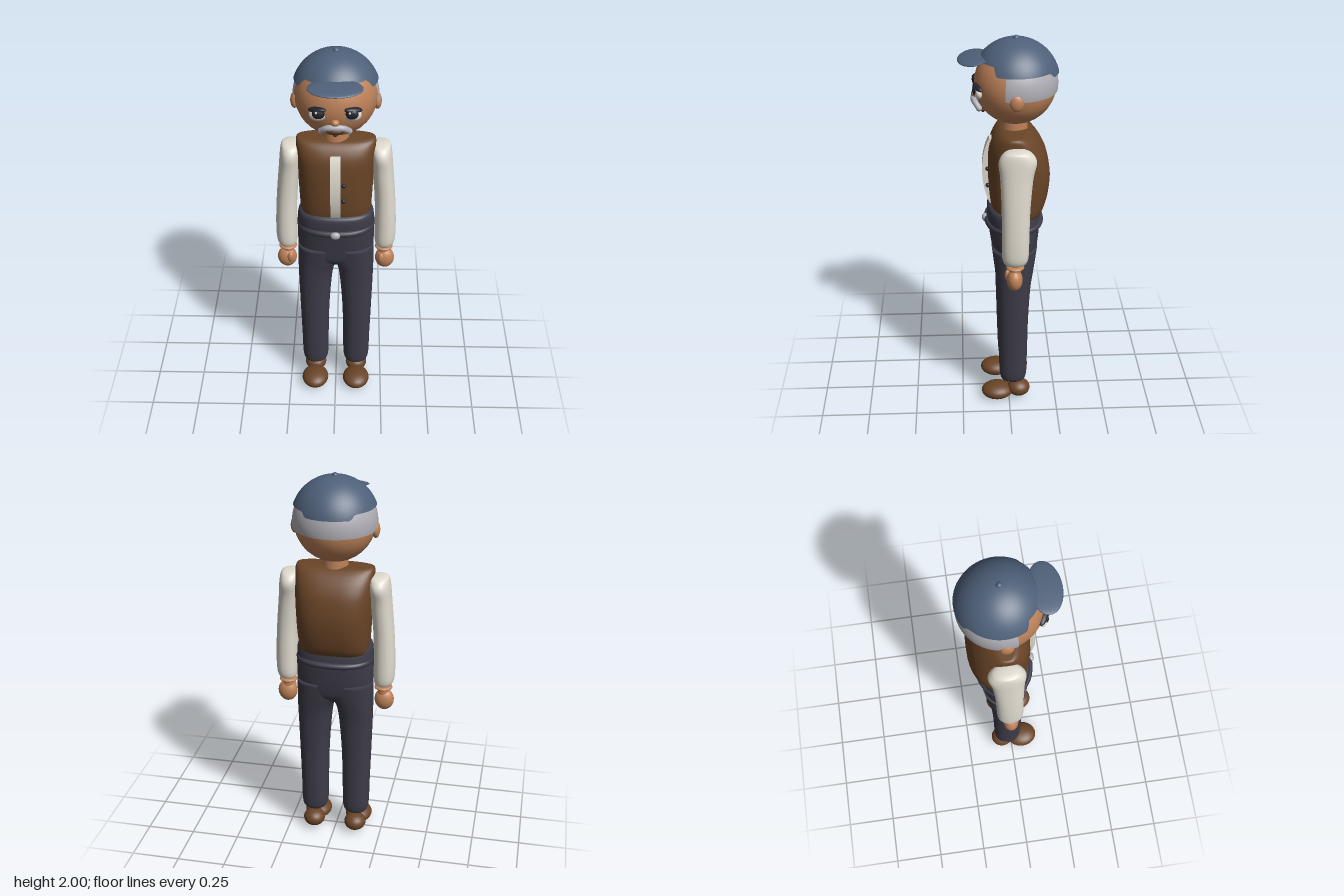
import * as THREE from 'three';

const mat = (name, color, side = THREE.FrontSide) => {
  const m = new THREE.MeshStandardMaterial({ color, side });
  m.name = name;
  return m;
};

// Stacked superellipse sections [y, xMin, xMax, zMin, zMax], smoothly joined and capped
function loft(sections, power = 2, steps = 40, sides = 40) {
  const a = new THREE.CatmullRomCurve3(sections.map(s => new THREE.Vector3(s[0], s[1], s[2])));
  const b = new THREE.CatmullRomCurve3(sections.map(s => new THREE.Vector3(s[3], s[4], 0)));
  a.curveType = b.curveType = 'catmullrom';
  const pos = [], idx = [];
  const round = v => Math.sign(v) * Math.abs(v) ** (2 / power);
  for (let j = 0; j <= steps; j++) {
    const p = a.getPoint(j / steps), q = b.getPoint(j / steps);
    for (let i = 0; i < sides; i++) {
      const t = i / sides * Math.PI * 2;
      pos.push((p.y + p.z) / 2 + (p.z - p.y) / 2 * round(Math.cos(t)), p.x,
        (q.x + q.y) / 2 + (q.y - q.x) / 2 * round(Math.sin(t)));
      if (j === steps) continue;
      const k = j * sides + i, n = j * sides + (i + 1) % sides;
      idx.push(n, k, k + sides, n, k + sides, n + sides);
    }
  }
  for (const [s, up] of [[sections[0], 0], [sections.at(-1), 1]]) {
    const c = pos.length / 3, base = up * steps * sides;
    pos.push((s[1] + s[2]) / 2, s[0], (s[3] + s[4]) / 2);
    for (let i = 0; i < sides; i++) {
      const k = base + i, n = base + (i + 1) % sides;
      up ? idx.push(c, n, k) : idx.push(c, k, n);
    }
  }
  const g = new THREE.BufferGeometry();
  g.setAttribute('position', new THREE.Float32BufferAttribute(pos, 3));
  g.setIndex(idx);
  g.computeVertexNormals();
  return g;
}

export function createModel() {
  const model = new THREE.Group();
  const skin = mat('skin', 0xbe8259);
  const capBlue = mat('cap blue', 0x4e6079, THREE.DoubleSide);
  const hairGrey = mat('hair grey', 0xb0afb6, THREE.DoubleSide);
  const brown = mat('brown', 0x6a4527);
  const cream = mat('shirt cream', 0xe0dbcf);
  const slate = mat('trouser slate', 0x3d3c49);
  const dark = mat('eye dark', 0x23242e);
  const mouthBrown = mat('mouth brown', 0x5a3520);

  const add = (name, geo, material, x = 0, y = 0, z = 0) => {
    const m = new THREE.Mesh(geo, material);
    m.name = name;
    m.position.set(x, y, z);
    model.add(m);
    return m;
  };
  const ball = (name, material, x, y, z, rx, ry = rx, rz = rx) => {
    const m = add(name, new THREE.SphereGeometry(1, 32, 20), material, x, y, z);
    m.scale.set(rx, ry, rz);
    return m;
  };

  // Head and neck
  ball('head', skin, 0, 1.765, -0.035, 0.2);
  add('neck', new THREE.CylinderGeometry(0.063, 0.066, 0.1, 32), skin, 0, 1.56, -0.03);
  ball('nose', skin, 0, 1.712, 0.16, 0.02, 0.017, 0.02);

  // Hair band around the back of the head
  add('hair', new THREE.SphereGeometry(0.207, 48, 16, Math.PI - 0.27, Math.PI + 0.54, 0.9, 0.82),
    hairGrey, 0, 1.765, -0.035);

  // Cap dome whose rim drops in steps from front to back
  const R = 0.214;
  const dome = new THREE.SphereGeometry(R, 96, 24, 0, Math.PI * 2, 0, Math.PI / 2);
  const p = dome.attributes.position, v = new THREE.Vector3();
  for (let i = 0; i < p.count; i++) {
    v.fromBufferAttribute(p, i);
    const az = Math.abs(Math.atan2(v.x, v.z));
    const drop = 0.118 - 0.042 * THREE.MathUtils.smoothstep(az, 0.9, 1.08)
      - 0.024 * THREE.MathUtils.smoothstep(az, 2.45, 2.6);
    const theta = Math.acos(Math.min(1, v.y / R)) / (Math.PI / 2) * Math.acos(drop / R);
    v.set(R * Math.sin(theta) * Math.sin(Math.atan2(v.x, v.z)), R * Math.cos(theta),
      R * Math.sin(theta) * Math.cos(Math.atan2(v.x, v.z)));
    p.setXYZ(i, v.x, v.y, v.z);
    v.normalize();
    dome.attributes.normal.setXYZ(i, v.x, v.y, v.z);
  }
  add('cap', dome, capBlue, 0, 1.773, -0.037);
  ball('capButton', capBlue, 0, 1.985, -0.038, 0.015);
  ball('capBrim', capBlue, 0, 1.892, 0.165, 0.13, 0.013, 0.079).rotation.x = 0.12;

  // Face
  const arch = new THREE.CatmullRomCurve3([[-0.066, 1.66, 0.142], [-0.038, 1.684, 0.162],
    [0, 1.688, 0.168], [0.038, 1.684, 0.162], [0.066, 1.66, 0.142]].map(q => new THREE.Vector3(...q)));
  add('moustache', new THREE.TubeGeometry(arch, 32, 0.015, 12), hairGrey);
  ball('mouth', mouthBrown, 0, 1.655, 0.135, 0.042, 0.017, 0.022);
  ball('chinTuft', mouthBrown, 0, 1.63, 0.122, 0.012, 0.014, 0.012);

  for (const s of [-1, 1]) {
    const side = s > 0 ? 'left' : 'right';
    ball(side + 'MoustacheTip', hairGrey, s * 0.066, 1.66, 0.142, 0.015);
    ball(side + 'Eye', cream, s * 0.08, 1.747, 0.143, 0.043, 0.033, 0.022);
    ball(side + 'Iris', dark, s * 0.078, 1.757, 0.158, 0.03, 0.026, 0.016);
    ball(side + 'EyeGlint', cream, s * 0.078 - 0.01, 1.768, 0.171, 0.006, 0.006, 0.004);
    const brow = ball(side + 'Lid', dark, s * 0.084, 1.773, 0.147, 0.045, 0.014, 0.02);
    brow.rotation.set(0, s * 0.4, -s * 0.15);
    ball(side + 'Ear', skin, s * 0.199, 1.73, -0.033, 0.02, 0.041, 0.033);

    // Sleeve
    const mirror = (y, c, rx, cz, rz) => [y, s * c - rx, s * c + rx, cz - rz, cz + rz];
    add(side + 'Sleeve', loft([
      mirror(0.9, 0.25, 0.03, -0.025, 0.04), mirror(0.912, 0.25, 0.045, -0.025, 0.056),
      mirror(0.95, 0.253, 0.053, -0.025, 0.066), mirror(1.05, 0.253, 0.054, -0.026, 0.068),
      mirror(1.2, 0.247, 0.052, -0.028, 0.07), mirror(1.36, 0.232, 0.053, -0.032, 0.08),
      mirror(1.44, 0.225, 0.053, -0.037, 0.092), mirror(1.48, 0.222, 0.05, -0.037, 0.075),
      mirror(1.496, 0.222, 0.042, -0.037, 0.05), mirror(1.502, 0.222, 0.02, -0.037, 0.02)], 2.2), cream);

    // Hand
    ball(side + 'Cuff', skin, s * 0.25, 0.885, -0.025, 0.046, 0.013, 0.045);
    add(side + 'Wrist', new THREE.CylinderGeometry(0.028, 0.028, 0.06, 20), skin, s * 0.25, 0.87, -0.025);
    ball(side + 'Hand', skin, s * 0.255, 0.815, -0.022, 0.05, 0.058, 0.04);
    ball(side + 'Thumb', skin, s * 0.235, 0.832, 0.013, 0.017, 0.03, 0.015);

    // Trouser leg
    const leg = (y, inner, outer, back, front) =>
      [y, Math.min(s * inner, s * outer), Math.max(s * inner, s * outer), back, front];
    add(side + 'Leg', loft([
      leg(0.115, 0.085, 0.14, -0.05, 0.01), leg(0.125, 0.062, 0.162, -0.075, 0.035),
      leg(0.16, 0.043, 0.18, -0.092, 0.049), leg(0.3, 0.04, 0.184, -0.096, 0.055),
      leg(0.5, 0.035, 0.19, -0.1, 0.06), leg(0.68, 0.022, 0.195, -0.11, 0.065),
      leg(0.77, 0.008, 0.197, -0.122, 0.07), leg(0.83, -0.02, 0.197, -0.132, 0.077),
      leg(0.92, -0.04, 0.196, -0.145, 0.088)], 2.3), slate);

    // Shoe: toe and heel
    ball(side + 'ShoeToe', brown, s * 0.113, 0.045, 0.064, 0.072, 0.043, 0.084);
    ball(side + 'ShoeHeel', brown, s * 0.113, 0.06, -0.052, 0.058, 0.046, 0.06);
  }

  // Hips, belt and buckle
  add('hips', loft([
    [0.81, -0.13, 0.13, -0.1, 0.045], [0.85, -0.185, 0.185, -0.133, 0.077],
    [0.93, -0.196, 0.196, -0.15, 0.09], [1.04, -0.196, 0.196, -0.16, 0.105],
    [1.1, -0.193, 0.193, -0.155, 0.108], [1.125, -0.184, 0.184, -0.145, 0.103],
    [1.135, -0.165, 0.165, -0.13, 0.09]], 2.4), slate);
  const belt = add('belt', loft([
    [1.025, -0.19, 0.19, -0.16, 0.108], [1.03, -0.199, 0.199, -0.172, 0.118],
    [1.042, -0.203, 0.203, -0.178, 0.123], [1.054, -0.199, 0.199, -0.172, 0.118],
    [1.059, -0.19, 0.19, -0.16, 0.108]], 2.3), slate);
  belt.scale.x = 0.98;
  ball('buckle', hairGrey, 0, 1.042, 0.118, 0.025, 0.02, 0.016);

  // Vest: full at the back, narrowing to a shoulder ridge
  add('vest', loft([
    [1.085, -0.15, 0.15, -0.14, 0.04], [1.1, -0.172, 0.172, -0.16, 0.07],
    [1.14, -0.179, 0.179, -0.182, 0.088], [1.22, -0.184, 0.184, -0.201, 0.098],
    [1.31, -0.188, 0.188, -0.207, 0.102], [1.4, -0.193, 0.193, -0.192, 0.101],
    [1.46, -0.196, 0.196, -0.166, 0.092], [1.505, -0.197, 0.197, -0.132, 0.07],
    [1.53, -0.195, 0.195, -0.1, 0.045], [1.54, -0.185, 0.185, -0.075, 0.02]], 2.8), brown);

  // Shirt front strip and vest buttons
  const strip = new THREE.Shape();
  strip.moveTo(0.05, 1.12);
  strip.lineTo(0.085, 1.12);
  strip.bezierCurveTo(0.143, 1.22, 0.145, 1.39, 0.095, 1.485);
  strip.lineTo(0.05, 1.485);
  strip.closePath();
  const stripGeo = new THREE.ExtrudeGeometry(strip, { depth: 0.05, bevelEnabled: false, curveSegments: 24 });
  stripGeo.rotateY(-Math.PI / 2);
  add('shirtFront', stripGeo, cream, 0.025, 0, 0);
  for (const y of [1.33, 1.24]) ball('button', dark, 0.04, y, 0.103, 0.011);

  return model;
}
